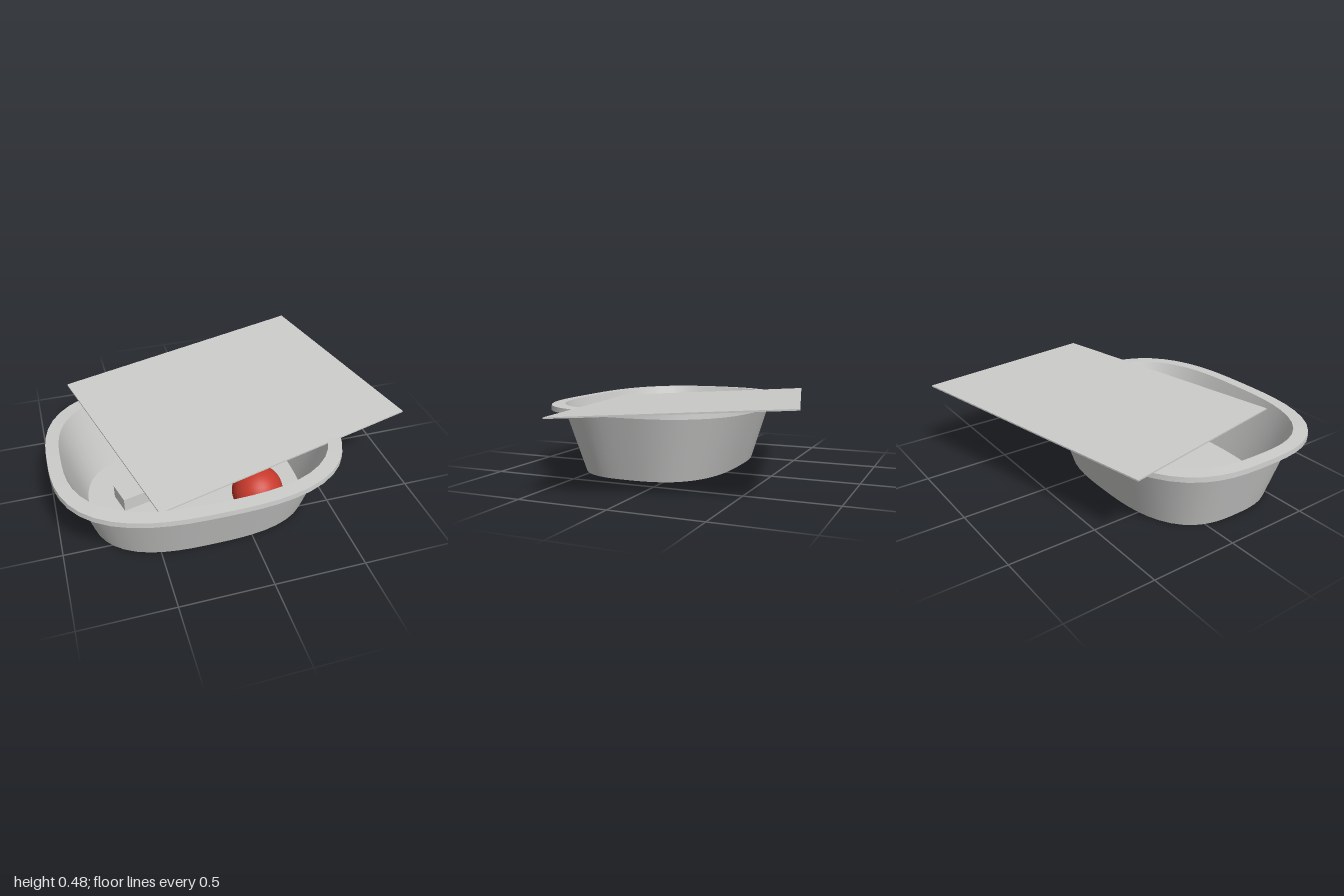
import * as THREE from 'three';

const plastic = new THREE.MeshStandardMaterial({ color: 0xcccccb });
plastic.name = 'pale grey';
const red = new THREE.MeshStandardMaterial({ color: 0xc83a2c });
red.name = 'red';

const SIDES = 56;

// Rounded-rectangle loop: half sizes rx and rz at height y, with a slight wave on the rim
function ring([rx, rz, y]) {
  const points = [];
  for (let i = 0; i < SIDES; i++) {
    const a = (i / SIDES) * Math.PI * 2;
    const c = Math.cos(a), s = Math.sin(a);
    const k = Math.pow(Math.abs(c) ** 2.8 + Math.abs(s) ** 2.8, -1 / 2.8);
    const wave = y > 0.3 ? 0.004 * Math.cos(2 * a) - 0.002 * c : 0;
    points.push(rx * k * c, y + wave, rz * k * s);
  }
  return points;
}

// Band between two loops; separate bands keep the edges between them crisp
function band(low, high) {
  const geometry = new THREE.BufferGeometry();
  geometry.setAttribute('position', new THREE.Float32BufferAttribute([...ring(low), ...ring(high)], 3));
  const index = [];
  for (let i = 0; i < SIDES; i++) {
    const j = (i + 1) % SIDES;
    index.push(i, i + SIDES, j, j, i + SIDES, j + SIDES);
  }
  geometry.setIndex(index);
  geometry.computeVertexNormals();
  return geometry;
}

function add(parent, name, geometry, material) {
  const mesh = new THREE.Mesh(geometry, material);
  mesh.name = name;
  parent.add(mesh);
  return mesh;
}

// Thin four-cornered sheet from its top corners, running round its edge
function sheet(corners, thickness) {
  const shape = new THREE.Shape(corners.map(([x, , z]) => new THREE.Vector2(x, -z)));
  const geometry = new THREE.ExtrudeGeometry(shape, { depth: thickness, bevelEnabled: false });
  geometry.rotateX(-Math.PI / 2);
  // Tilt onto the plane through the corners
  const [a, b, c] = corners.map((p) => new THREE.Vector3(...p));
  const n = b.clone().sub(a).cross(c.clone().sub(a));
  const pos = geometry.attributes.position;
  for (let i = 0; i < pos.count; i++) {
    const x = pos.getX(i), z = pos.getZ(i);
    const plane = a.y - (n.x * (x - a.x) + n.z * (z - a.z)) / n.y;
    pos.setY(i, plane - thickness + pos.getY(i));
  }
  geometry.computeVertexNormals();
  return geometry;
}

export function createModel() {
  const model = new THREE.Group();

  // Tub: from the middle of the underside, up the outside, over the rim, down to the floor
  const tub = new THREE.Group();
  tub.name = 'tub';
  tub.position.set(-0.205, 0, 0.205);
  const profile = [
    ['underside', 0, 0, 0],
    ['outerWall', 0.615, 0.44, 0],
    ['rimUnderside', 0.727, 0.557, 0.385],
    ['rimInnerLip', 0.778, 0.608, 0.385],
    ['rimLowerEdge', 0.782, 0.612, 0.372],
    ['rimOuterLip', 0.794, 0.624, 0.372],
    ['rimTop', 0.792, 0.622, 0.4],
    ['innerWall', 0.722, 0.549, 0.403],
    ['floor', 0.608, 0.433, 0.015],
    ['', 0, 0, 0.015],
  ];
  for (let i = 0; i < profile.length - 1; i++) {
    const [name, ...low] = profile[i];
    add(tub, name, band(low, profile[i + 1].slice(1)), plastic);
  }
  model.add(tub);

  // Flat lid lying skewed and tilted across the tub
  const lidCorners = [[-0.51, 0.37, 0.715], [1, 0.418, 0.34], [0.7, 0.482, -0.835], [-0.81, 0.434, -0.46]];
  add(model, 'lid', sheet(lidCorners, 0.008), plastic);

  // Things lying inside the tub
  const ball = add(model, 'ball', new THREE.SphereGeometry(0.14, 32, 20), red);
  ball.position.set(0.085, 0.155, 0.465);
  const block = add(model, 'looseBlock', new THREE.BoxGeometry(0.3, 0.08, 0.14), plastic);
  block.position.set(-0.5, 0.055, 0.17);
  block.rotation.y = 0.25;

  return model;
}
